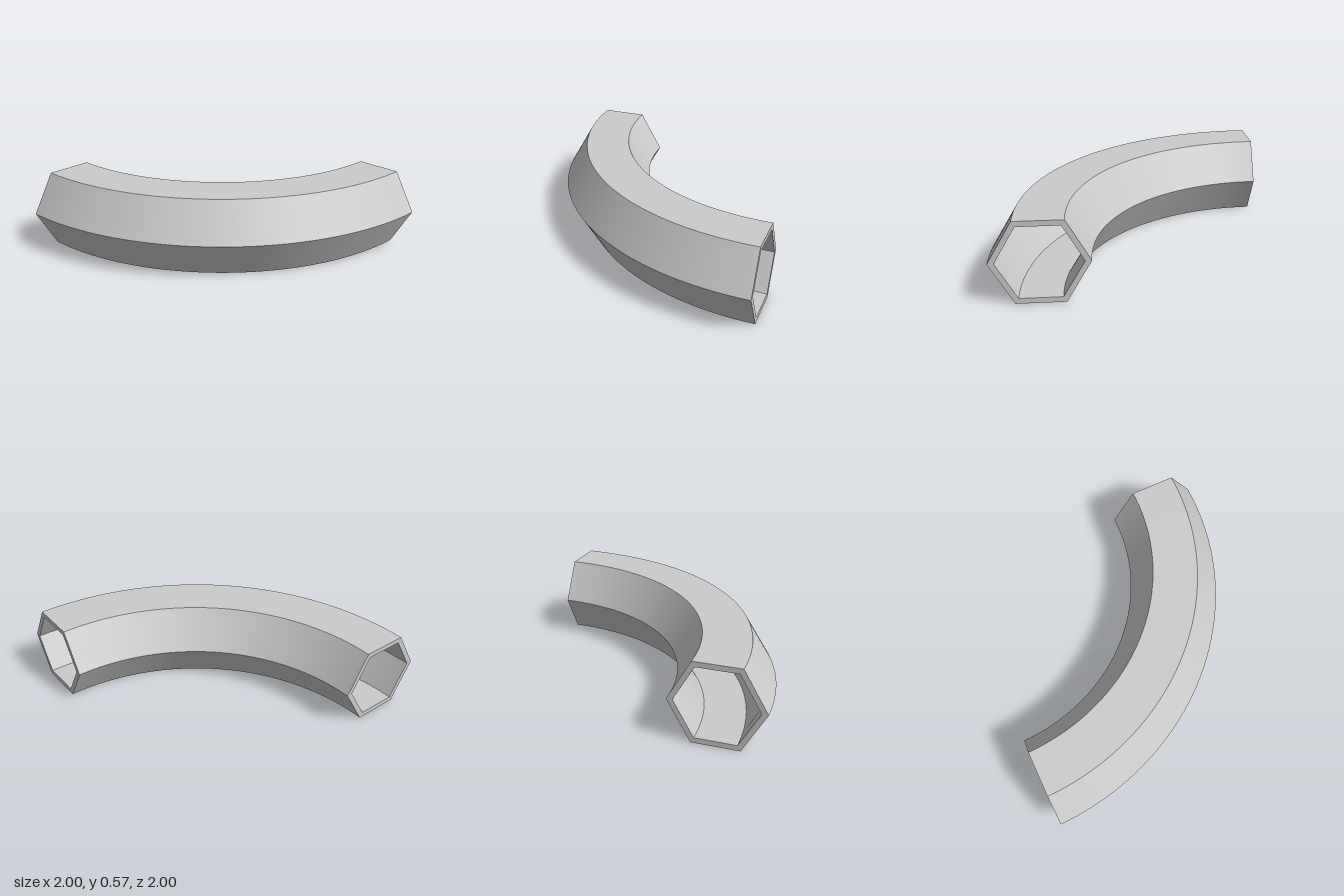
import * as THREE from 'three';

const BEND = 1.672;              // radius of the bend's centre line
const OUTER = 0.328;             // hexagon corner radius, outside
const INNER = 0.285;             // hexagon corner radius, bore
const MID_Y = OUTER * Math.sqrt(3) / 2;

// Hexagon corners, flat sides at top and bottom
const hexagon = (r) => Array.from({ length: 6 }, (_, i) =>
  new THREE.Vector2(r * Math.cos(i * Math.PI / 3), r * Math.sin(i * Math.PI / 3)));

export function createModel() {
  const group = new THREE.Group();
  group.name = 'hexagonalPipeBend';
  const material = new THREE.MeshStandardMaterial({ color: 0xcccccc });

  // Each side of a hexagon swept a quarter turn, smooth along the bend, sharp between sides
  const sweep = (name, radius, inward) => {
    const wall = new THREE.Group();
    wall.name = name;
    const corners = hexagon(radius).map((p) => new THREE.Vector2(p.x + BEND, p.y));
    if (inward) corners.reverse();
    corners.forEach((p, i) => {
      const geometry = new THREE.LatheGeometry([p, corners[(i + 1) % 6]], 64, Math.PI * 1.5, Math.PI / 2);
      const side = new THREE.Mesh(geometry, material);
      side.name = `${name}Side${i + 1}`;
      wall.add(side);
    });
    wall.position.set(1, MID_Y, -1);
    group.add(wall);
  };
  sweep('outerWall', OUTER, false);
  sweep('innerWall', INNER, true);

  // Flat hexagonal rims closing the wall thickness at both ends
  const ring = new THREE.Shape(hexagon(OUTER));
  ring.holes.push(new THREE.Path(hexagon(INNER)));
  const rimGeometry = new THREE.ShapeGeometry(ring);
  const addRim = (name, x, z, turn) => {
    const rim = new THREE.Mesh(rimGeometry, material);
    rim.name = name;
    rim.position.set(x, MID_Y, z);
    rim.rotation.y = turn;
    group.add(rim);
  };
  addRim('leftRim', 1, BEND - 1, Math.PI / 2);
  addRim('backRim', 1 - BEND, -1, Math.PI);

  return group;
}
